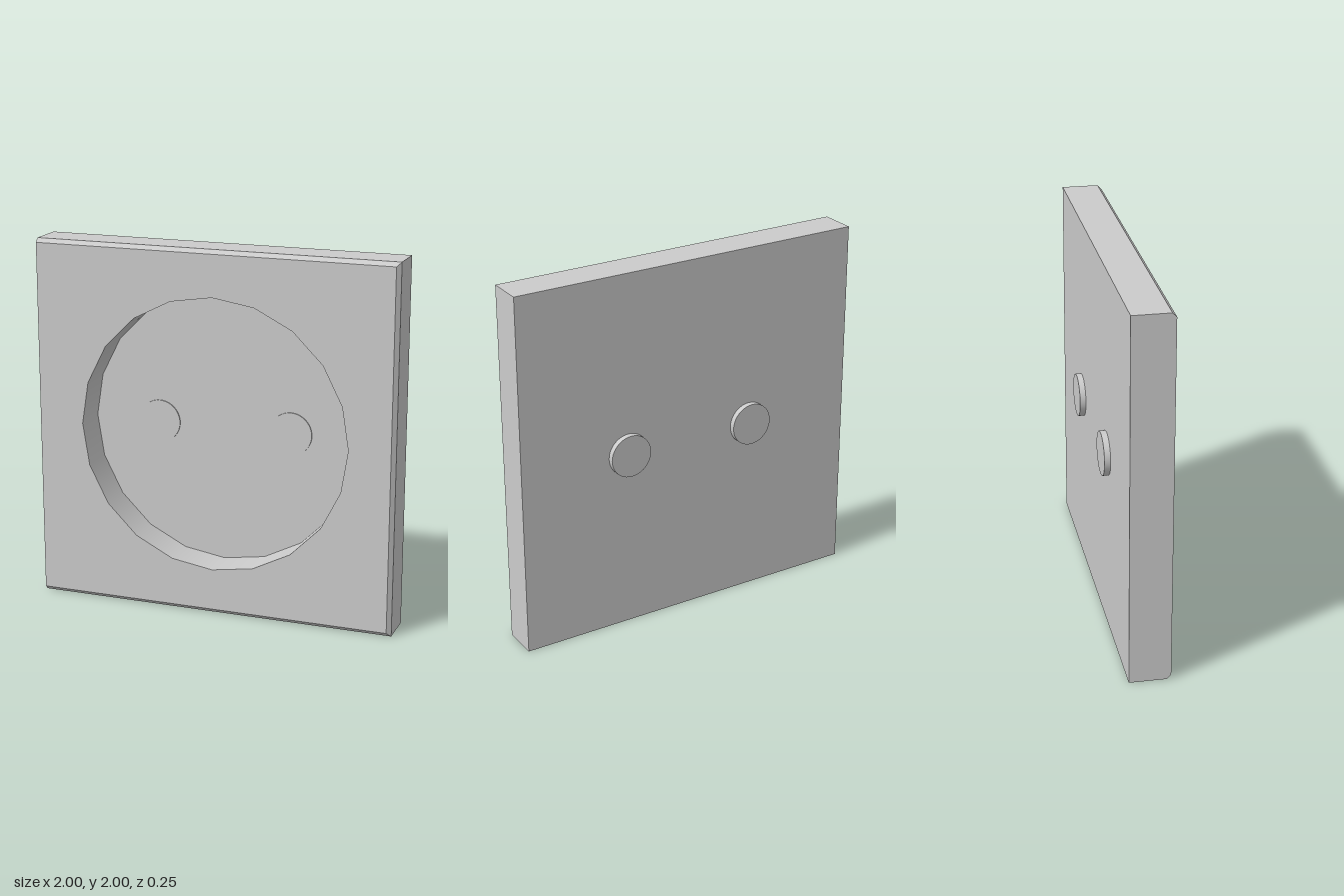
import * as THREE from 'three';

const BACK = -0.095, FRONT = 0.125, FLOOR = -0.075, BEVEL = 0.022;
const CENTRE_Y = 1, RECESS_R = 0.75, SIDES = 20;

export function createModel() {
  const group = new THREE.Group();
  const grey = new THREE.MeshStandardMaterial({ color: 0xcccccc });
  const twoSided = new THREE.MeshStandardMaterial({ color: 0xcccccc, side: THREE.DoubleSide });

  const add = (name, geometry, material, x, y, z) => {
    const mesh = new THREE.Mesh(geometry, material);
    mesh.name = name;
    mesh.position.set(x, y, z);
    group.add(mesh);
    return mesh;
  };

  // Rectangle corners, anticlockwise from the front; the -x edge is never bevelled
  const corners = (inset, z) => [
    [-1, inset, z], [1 - inset, inset, z], [1 - inset, 2 - inset, z], [-1, 2 - inset, z],
  ];

  // Plate rim: straight sides, then a bevel on the top, bottom and +x front edges
  const rings = [corners(0, BACK), corners(0, FRONT - BEVEL), corners(BEVEL, FRONT)];
  const positions = [];
  for (let r = 0; r < 2; r++) {
    for (let i = 0; i < 4; i++) {
      const j = (i + 1) % 4;
      const a = rings[r][i], b = rings[r][j], c = rings[r + 1][j], d = rings[r + 1][i];
      positions.push(...a, ...b, ...c, ...a, ...c, ...d);
    }
  }
  const rim = new THREE.BufferGeometry();
  rim.setAttribute('position', new THREE.Float32BufferAttribute(positions, 3));
  rim.computeVertexNormals();
  add('plateRim', rim, grey, 0, 0, 0);

  // Front face with the round opening
  const face = new THREE.Shape(rings[2].map(([x, y]) => new THREE.Vector2(x, y)));
  const opening = [];
  for (let i = 0; i < SIDES; i++) {
    const a = (i / SIDES) * Math.PI * 2;
    opening.push(new THREE.Vector2(RECESS_R * Math.cos(a), CENTRE_Y + RECESS_R * Math.sin(a)));
  }
  face.holes.push(new THREE.Path(opening));
  add('frontFace', new THREE.ShapeGeometry(face), grey, 0, 0, FRONT);

  // Back face
  add('backFace', new THREE.PlaneGeometry(2, 2).rotateY(Math.PI), grey, 0, CENTRE_Y, BACK);

  // Recess wall and floor
  const depth = FRONT - FLOOR;
  const wall = new THREE.CylinderGeometry(RECESS_R, RECESS_R, depth, SIDES, 1, true).rotateX(Math.PI / 2);
  add('recessWall', wall, twoSided, 0, CENTRE_Y, (FRONT + FLOOR) / 2);
  add('recessFloor', new THREE.CircleGeometry(RECESS_R, SIDES), grey, 0, CENTRE_Y, FLOOR);

  // Two contacts passing through the floor and standing out at the back
  const pinFront = FLOOR + 0.007, pinBack = -0.127;
  for (const side of [-1, 1]) {
    const pin = new THREE.CylinderGeometry(0.117, 0.117, pinFront - pinBack, 40).rotateX(Math.PI / 2);
    add(side < 0 ? 'rightContact' : 'leftContact', pin, grey, side * 0.375, CENTRE_Y, (pinFront + pinBack) / 2);
  }
  return group;
}
